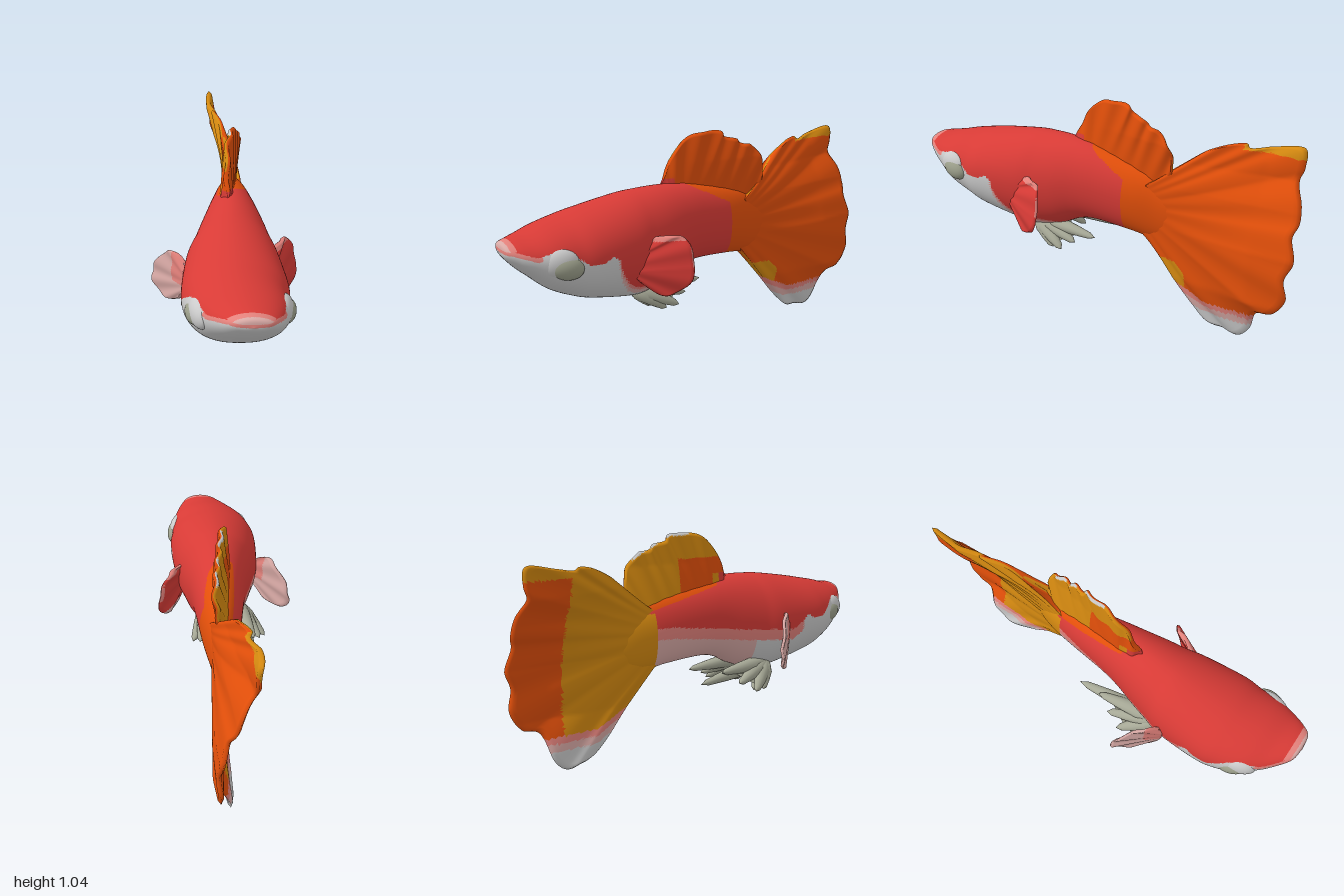
import * as THREE from 'three';
import { mergeVertices } from 'three/addons/utils/BufferGeometryUtils.js';

const mat = (name, color) => {
  const m = new THREE.MeshStandardMaterial({ color });
  m.name = name;
  return m;
};

export function createModel() {
  const fish = new THREE.Group();
  fish.name = 'fish';
  const mats = {
    red: mat('red', 0xd83b36),
    orange: mat('orange', 0xe24f0a),
    amber: mat('amber', 0xd68a10),
    pink: mat('pink', 0xe4827c),
    palePink: mat('pale pink', 0xd9aaa6),
    white: mat('greyish white', 0xcbcbcb),
    sage: mat('sage grey', 0xa6a896),
    eye: mat('eye grey', 0x9da08c),
  };
  mats.sage.side = THREE.DoubleSide;
  const keys = Object.keys(mats);
  const list = Object.values(mats);

  // Smooth surface over a grid of points
  const grid = (nu, nv, fn) => {
    const pos = [], idx = [];
    for (let i = 0; i <= nu; i++) for (let j = 0; j <= nv; j++) pos.push(...fn(i / nu, j / nv));
    for (let i = 0; i < nu; i++) for (let j = 0; j < nv; j++) {
      const a = i * (nv + 1) + j, b = a + nv + 1;
      idx.push(a, b, b + 1, a, b + 1, a + 1);
    }
    let g = new THREE.BufferGeometry();
    g.setAttribute('position', new THREE.Float32BufferAttribute(pos, 3));
    g.setIndex(idx);
    g = mergeVertices(g, 1e-5);
    g.computeVertexNormals();
    return g;
  };

  // Sort faces into colour groups by a rule on face centre and facing side
  const painted = (name, g, rule) => {
    const buckets = keys.map(() => []);
    const p = g.attributes.position, ix = g.index.array;
    const t = new THREE.Triangle(), c = new THREE.Vector3(), n = new THREE.Vector3();
    for (let k = 0; k < ix.length; k += 3) {
      t.setFromAttributeAndIndices(p, ix[k], ix[k + 1], ix[k + 2]);
      t.getMidpoint(c);
      t.getNormal(n);
      buckets[keys.indexOf(rule(c.x, c.y, c.z, n.x))].push(ix[k], ix[k + 1], ix[k + 2]);
    }
    g.setIndex(buckets.flat());
    let start = 0;
    buckets.forEach((b, k) => {
      if (b.length) g.addGroup(start, b.length, k);
      start += b.length;
    });
    const mesh = new THREE.Mesh(g, list);
    mesh.name = name;
    fish.add(mesh);
  };

  // Straight-line lookup in [x, y] pairs with falling x
  const look = (pts, x) => {
    if (x >= pts[0][0]) return pts[0][1];
    for (let i = 1; i < pts.length; i++) {
      const [x0, y0] = pts[i - 1], [x1, y1] = pts[i];
      if (x >= x1) return y0 + (y1 - y0) * (x - x0) / (x1 - x0);
    }
    return pts[pts.length - 1][1];
  };

  // Body sections: z, centre x, top, bottom, half width
  const sections = [
    [0.997, 0.09, 0.666, 0.666, 0], [0.985, 0.09, 0.697, 0.638, 0.07], [0.94, 0.08, 0.706, 0.585, 0.118],
    [0.88, 0.065, 0.715, 0.53, 0.16], [0.8, 0.05, 0.735, 0.46, 0.2], [0.7, 0.035, 0.755, 0.405, 0.22],
    [0.6, 0.033, 0.775, 0.37, 0.23], [0.4, 0.028, 0.808, 0.328, 0.213], [0.3, 0.03, 0.817, 0.33, 0.188],
    [0.2, 0.033, 0.82, 0.36, 0.165], [0.1, 0.035, 0.815, 0.41, 0.14], [0, 0.037, 0.8, 0.43, 0.122],
    [-0.2, 0.04, 0.755, 0.42, 0.092], [-0.32, 0.04, 0.715, 0.405, 0.065], [-0.42, 0.045, 0.66, 0.43, 0.04],
    [-0.52, 0.05, 0.55, 0.55, 0],
  ];
  const curve = (f) => new THREE.CatmullRomCurve3(sections.map(f), false, 'catmullrom', 0.5);
  const spine = curve(s => new THREE.Vector3(s[1], (s[2] + s[3]) / 2, s[0]));
  const girth = curve(s => new THREE.Vector3(s[4], (s[2] - s[3]) / 2, 0));
  const body = grid(240, 140, (u, v) => {
    const c = spine.getPoint(u), r = girth.getPoint(u), a = (v % 1) * Math.PI * 2;
    const x = Math.cos(a), y = Math.sin(a);
    const full = y > 0 ? 1.06 : 0.84;
    return [c.x + r.x * Math.sign(x) * Math.abs(x) ** full, c.y + r.y * Math.sign(y) * Math.abs(y) ** 0.95, c.z];
  });
  const headEdge = [[0.97, 0.682], [0.88, 0.65], [0.82, 0.66], [0.75, 0.655], [0.66, 0.585], [0.6, 0.58],
    [0.55, 0.605], [0.52, 0.58]];
  const leftEdge = [...headEdge, [0.5, 0.51], [0.45, 0.44], [0.4, 0.41], [0.3, 0.395], [0.2, 0.385], [0.1, 0.4]];
  const rightEdge = [...headEdge, [0.46, 0.54], [0.2, 0.56], [-0.2, 0.61]];
  painted('body', body, (x, y, z) => {
    const right = x < 0.03;
    const edge = look(right ? rightEdge : leftEdge, z);
    if (right && z < -0.28 && y < 0.68) return 'amber';
    const rearPaint = right
      ? z < 0.08 && y > 0.765 + 0.25 * z
      : z < -0.17 + Math.max(0, y - 0.7) * 2;
    if (rearPaint) return 'orange';
    if (z > 0.95 && y > 0.678) return z > 0.975 ? 'palePink' : 'pink';
    if (!right && x < 0.075 && z < 0 && y < 0.445) return 'palePink';
    if (y > edge || (!right && z < 0.08)) return 'red';
    if (z > 0.86) return y > edge - 0.018 ? 'pink' : 'white';
    if (z > 0.52) return 'white';
    if (y > edge - (right ? 0.055 : 0.015)) return 'pink';
    if (y > edge - 0.04) return 'palePink';
    return right && z < 0.25 ? 'palePink' : 'white';
  });

  // Eyes in swollen sockets
  const ball = (name, m, p, s, turn) => {
    const e = new THREE.Mesh(new THREE.SphereGeometry(1, 32, 20), m);
    e.name = name;
    e.position.set(...p);
    e.scale.set(...s);
    e.rotation.set(...turn);
    fish.add(e);
  };
  for (const s of [1, -1]) {
    const side = s > 0 ? 'left' : 'right';
    ball(side + 'EyeSocket', mats.white, [0.05 + s * 0.163, 0.605, 0.785], [0.048, 0.066, 0.09], [0, -s * 0.25, 0]);
    ball(side + 'Eye', mats.eye, [0.05 + s * 0.184, 0.588, 0.76], [0.043, 0.052, 0.076], [-0.25, -s * 0.2, 0]);
  }

  // Thin closed fin between a base curve and an outer curve, both given as [z, y]
  const spline = pts => new THREE.SplineCurve(pts.map(p => new THREE.Vector2(...p)));
  const fin = (name, base, outer, bend, thick, rays, [nu, nv], rule) => {
    const b = spline(base), o = spline(outer);
    painted(name, grid(nu, nv, (u, v) => {
      const w = v % 1, side = w < 0.5 ? 1 : -1;
      const s = 1 - Math.abs(1 - 2 * w);
      const p = b.getPoint(u).lerp(o.getPoint(u), s);
      const h = (thick * (1 - s) + 0.01) * Math.min(1, 14 * u + 0.1, 14 * (1 - u) + 0.1) * (s > 0.999 ? 0 : 1);
      const ripple = 0.006 * s * Math.sin(u * rays * Math.PI * 2);
      return [bend(p.x, p.y) + ripple + side * h, p.y, p.x];
    }), rule);
  };

  // Dorsal fin, leaning over towards its rear
  fin('dorsalFin', [[0.15, 0.79], [0, 0.76], [-0.2, 0.69], [-0.36, 0.62]],
    [[0.17, 0.81], [0.13, 0.88], [0.08, 0.97], [0, 1.03], [-0.08, 1.042], [-0.155, 1.04], [-0.18, 1.01],
      [-0.24, 0.995], [-0.27, 0.97], [-0.32, 0.96], [-0.37, 0.91], [-0.395, 0.85], [-0.395, 0.78], [-0.41, 0.74]],
    (z, y) => 0.01 + Math.max(0, 0.05 - z) * (0.08 + 0.4 * THREE.MathUtils.clamp(y - 0.7, 0, 0.2)),
    0.022, 8, [150, 64],
    (x, y, z, nx) => {
      if (z > 0.1 && y < 0.84) return 'red';
      if (nx >= 0) return 'orange';
      if (z < -0.05 && y > 1.03 - Math.max(0, -0.15 - z) * 0.5) return 'white';
      return z > -0.12 && (z < 0.06 || y > 0.84) && y < 0.92 ? 'orange' : 'amber';
    });

  // Tail fan, cupped so its top and bottom edges curl to the right
  const cup = [[1, -0.075], [0.9, -0.06], [0.82, -0.045], [0.7, 0.02], [0.5, 0.09], [0.25, 0.095], [0.1, 0.045],
    [0, 0.025]];
  fin('tailFin', [[-0.27, 0.7], [-0.3, 0.57], [-0.24, 0.44]],
    [[-0.36, 0.72], [-0.41, 0.765], [-0.5, 0.865], [-0.6, 0.92], [-0.69, 0.94], [-0.72, 0.925], [-0.82, 0.945],
      [-0.95, 0.965], [-0.96, 0.88], [-0.945, 0.82], [-0.98, 0.74], [-0.99, 0.66], [-0.975, 0.6], [-1, 0.5],
      [-0.97, 0.41], [-0.985, 0.31], [-0.93, 0.22], [-0.85, 0.19], [-0.81, 0.07], [-0.75, 0.01], [-0.68, 0.02],
      [-0.6, 0.04], [-0.5, 0.14], [-0.4, 0.27], [-0.3, 0.39], [-0.26, 0.42]],
    (z, y) => {
      const t = THREE.MathUtils.clamp((-0.3 - z) / 0.5, 0, 1);
      return 0.043 * (1 - t) + look(cup, y) * t;
    }, 0.04, 11, [190, 80],
    (x, y, z, nx) => {
      const low = 0.165 + Math.max(0, z + 0.58) * 0.5;
      if (z < -0.4 && y < low - 0.065) return 'white';
      if (z < -0.4 && y < low - 0.03) return 'palePink';
      if (z < -0.4 && y < low) return 'pink';
      if (nx < 0) return z > -0.74 || y > 0.9 ? 'amber' : 'orange';
      if (y > 0.917 && z < -0.69) return 'amber';
      return z > -0.49 && y < 0.34 + Math.max(0, z + 0.34) * 1.1 + Math.min(0, z + 0.44) ? 'amber' : 'orange';
    });

  // Pectoral fins
  fin('leftPectoralFin', [[0.45, 0.56], [0.46, 0.52], [0.43, 0.47]],
    [[0.42, 0.59], [0.33, 0.635], [0.25, 0.645], [0.2, 0.63], [0.18, 0.56], [0.19, 0.45], [0.25, 0.385],
      [0.32, 0.375], [0.4, 0.44]],
    (z, y) => 0.22 + (0.4 - z) * 0.52 - Math.max(0, y - 0.5) * 0.3, 0.012, 5, [90, 48],
    (x, y, z, nx) => {
      if (nx < 0 && y < 0.41) return 'palePink';
      return y > 0.622 || (z < 0.19 && y > 0.5) ? 'pink' : 'red';
    });
  fin('rightPectoralFin', [[0.42, 0.58], [0.43, 0.52], [0.41, 0.46]],
    [[0.4, 0.61], [0.35, 0.645], [0.3, 0.61], [0.25, 0.53], [0.232, 0.46], [0.25, 0.4], [0.31, 0.375],
      [0.36, 0.4], [0.4, 0.44]],
    z => -0.19 - (0.4 - z) * 0.9, 0.012, 5, [90, 48],
    (x, y, z) => (z > 0.355 && y > 0.5 ? 'pink' : 'palePink'));

  // Pelvic fins: tapered prongs joined by webs, fanning from one root
  const pelvic = (name, root, tips) => {
    const group = new THREE.Group();
    group.name = name;
    const a = new THREE.Vector3(...root), webEnds = [];
    for (const tip of tips) {
      const d = new THREE.Vector3(...tip).sub(a), len = d.length();
      webEnds.push(a.clone().addScaledVector(d, 0.8));
      const shape = [[0, 0], [0.03, 0.08], [0.04, 0.35], [0.03, 0.65], [0.018, 0.9], [0, 1]];
      const g = new THREE.LatheGeometry(shape.map(([r, h]) => new THREE.Vector2(r, h * len)), 14);
      g.scale(1, 1, 0.85);
      const prong = new THREE.Mesh(g, mats.sage);
      prong.name = 'prong';
      prong.position.copy(a);
      prong.quaternion.setFromUnitVectors(new THREE.Vector3(0, 1, 0), d.normalize());
      group.add(prong);
    }
    const corners = webEnds.slice(1).flatMap((p, i) => [a, webEnds[i], p]);
    const web = new THREE.BufferGeometry().setFromPoints(corners);
    web.computeVertexNormals();
    const webMesh = new THREE.Mesh(web, mats.sage);
    webMesh.name = 'web';
    group.add(webMesh);
    fish.add(group);
  };
  pelvic('leftPelvicFin', [0.08, 0.36, 0.36],
    [[0.1, 0.34, 0.0], [0.13, 0.3, 0.1], [0.165, 0.26, 0.16], [0.15, 0.25, 0.22], [0.09, 0.255, 0.27], [0.03, 0.26, 0.25]]);
  pelvic('rightPelvicFin', [-0.08, 0.365, 0.36],
    [[-0.13, 0.33, -0.1], [-0.14, 0.37, 0.02], [-0.18, 0.31, 0.1], [-0.215, 0.265, 0.18], [-0.19, 0.26, 0.25],
      [-0.15, 0.25, 0.22], [-0.09, 0.255, 0.28]]);

  return fish;
}
